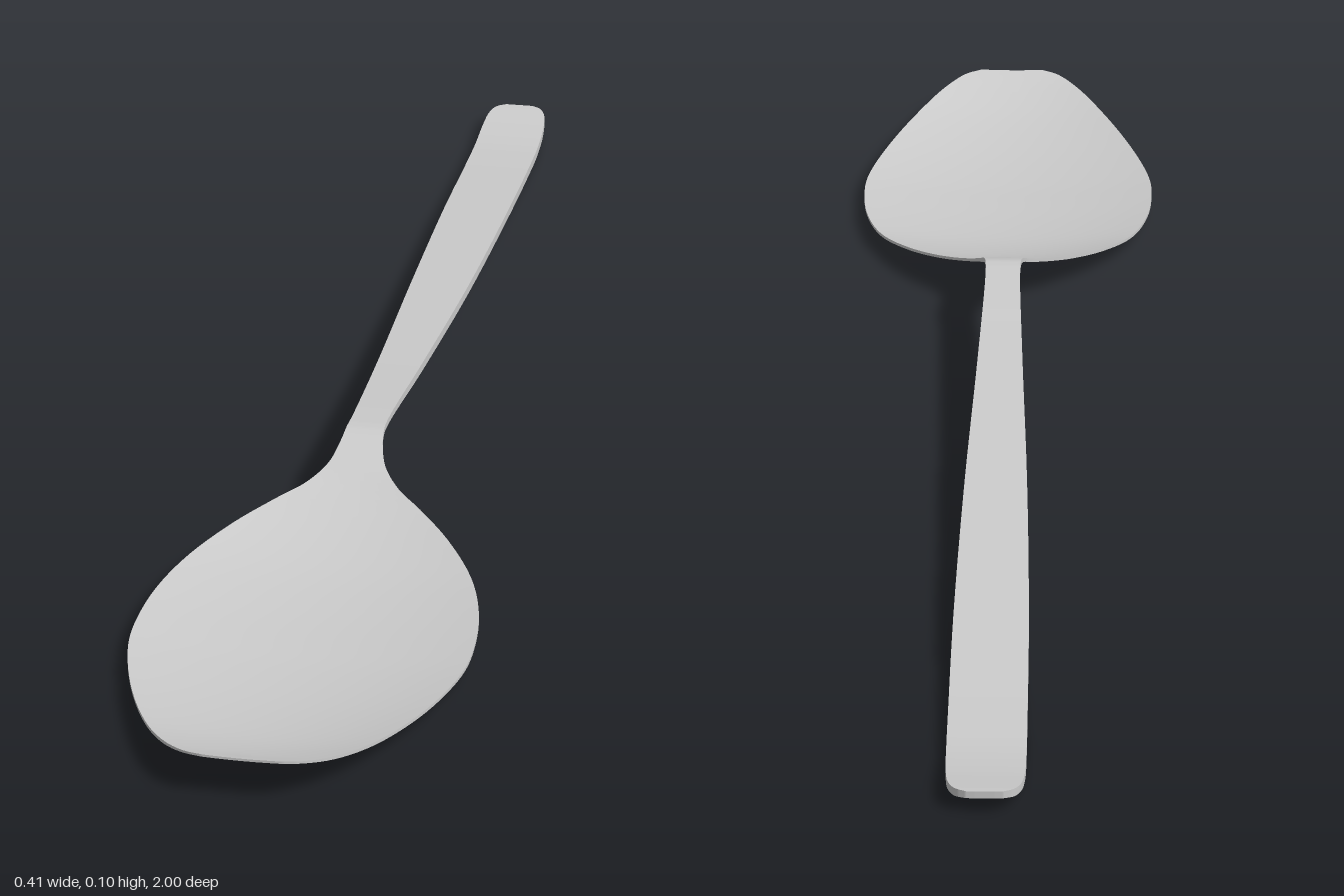
import * as THREE from 'three';
import { toCreasedNormals } from 'three/addons/utils/BufferGeometryUtils.js';

// Stations from bowl tip to handle end: z, half width, rim height, dish depth, thickness
const BOWL = [
  [1.0, 0.045, 0.057, 0.001, 0.003],
  [0.99, 0.068, 0.054, 0.002, 0.003],
  [0.96, 0.097, 0.046, 0.006, 0.004],
  [0.9, 0.133, 0.034, 0.011, 0.004],
  [0.8, 0.174, 0.024, 0.015, 0.004],
  [0.7, 0.2, 0.0205, 0.0165, 0.004],
  [0.64, 0.204, 0.021, 0.016, 0.004],
  [0.56, 0.197, 0.0235, 0.0155, 0.004],
  [0.48, 0.174, 0.029, 0.013, 0.004],
  [0.41, 0.133, 0.041, 0.009, 0.004],
  [0.36, 0.09, 0.053, 0.004, 0.004],
  [0.33, 0.058, 0.063, 0.002, 0.004],
  [0.3, 0.036, 0.077, 0, 0.005],
];
const HANDLE = [
  [0.27, 0.027, 0.092, 0, 0.006],
  [0.245, 0.024, 0.1, 0, 0.007],
  [0.21, 0.023, 0.099, 0, 0.008],
  [0, 0.029, 0.077, 0, 0.011],
  [-0.3, 0.039, 0.052, 0, 0.012],
  [-0.6, 0.045, 0.032, 0, 0.012],
  [-0.8, 0.046, 0.018, 0, 0.012],
  [-0.88, 0.046, 0.015, 0, 0.012],
  [-0.94, 0.045, 0.02, 0, 0.011],
  [-0.975, 0.041, 0.026, 0, 0.01],
  [-0.992, 0.033, 0.029, 0, 0.01],
  [-1.0, 0.02, 0.03, 0, 0.009],
];

// Closed loft whose sections are a dished upper face above a matching lower face
function loftSpoon(stations, across = 20, perSpan = 5) {
  const outline = new THREE.CatmullRomCurve3(stations.map(([z, w, y]) => new THREE.Vector3(w, y, z)));
  const section = new THREE.CatmullRomCurve3(stations.map(([z, , , d, t]) => new THREE.Vector3(d, t, z)));
  const rows = (stations.length - 1) * perSpan;
  const ring = 2 * (across + 1);
  const positions = [];
  const index = [];

  for (let i = 0; i <= rows; i++) {
    const { x: width, y: rim, z } = outline.getPoint(i / rows);
    const { x: depth, y: thickness } = section.getPoint(i / rows);
    for (let j = 0; j < ring; j++) {
      const lower = j > across;
      const u = ((lower ? ring - 1 - j : j) / across) * 2 - 1;
      const y = rim - depth * (1 - u * u) - (lower ? thickness : 0);
      positions.push(u * width, Math.max(0, y), z);
    }
  }
  // Skin between neighbouring sections
  for (let i = 0; i < rows; i++) {
    for (let j = 0; j < ring; j++) {
      const a = i * ring + j;
      const b = i * ring + ((j + 1) % ring);
      index.push(a, b, a + ring, b, b + ring, a + ring);
    }
  }
  // Blunt end caps joining upper and lower faces
  const last = rows * ring;
  for (let j = 0; j < across; j++) {
    const k = ring - 1 - j;
    index.push(j, k, j + 1, j + 1, k, k - 1);
    index.push(last + j, last + j + 1, last + k, last + j + 1, last + k - 1, last + k);
  }
  const geometry = new THREE.BufferGeometry();
  geometry.setAttribute('position', new THREE.Float32BufferAttribute(positions, 3));
  geometry.setIndex(index);
  return toCreasedNormals(geometry, 0.7);
}

export function createModel() {
  const group = new THREE.Group();
  group.name = 'spoon';
  const material = new THREE.MeshStandardMaterial({ color: 0xcccccc });
  // Bowl, neck and handle are one continuous piece
  const body = new THREE.Mesh(loftSpoon([...BOWL, ...HANDLE]), material);
  body.name = 'bowlAndHandle';
  group.add(body);
  return group;
}
